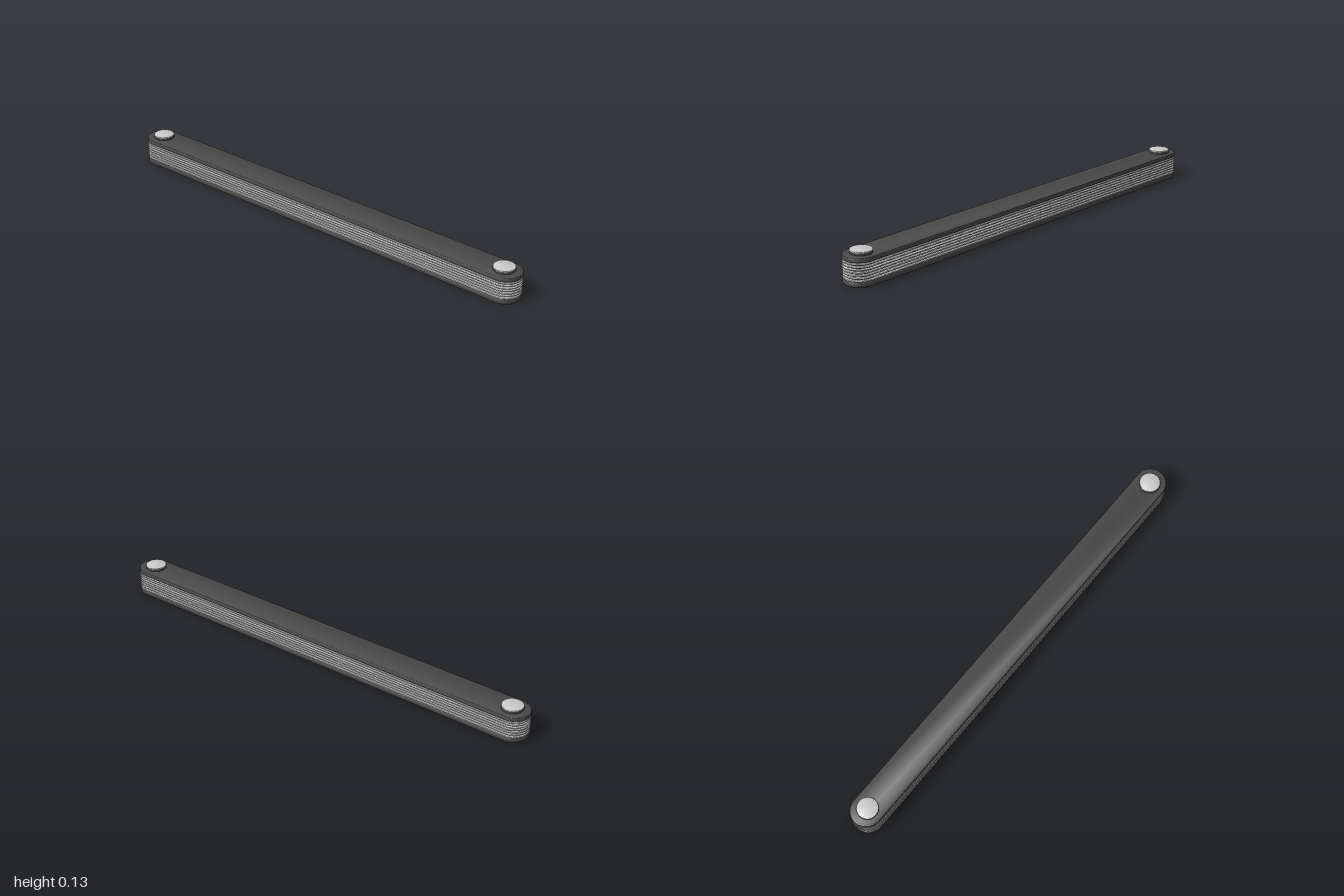
import * as THREE from 'three';
import { toCreasedNormals } from 'three/addons/utils/BufferGeometryUtils.js';

const dark = new THREE.MeshStandardMaterial({ color: 0x4a4a4a });
const light = new THREE.MeshStandardMaterial({ color: 0xcccccc });

const HALF_WIDTH = 0.067;
const END_Z = 1 - HALF_WIDTH; // centre of each rounded end

// Flat bar with round ends, lying along z, with softened rims
function bar(name, radius, y0, y1, bevel, material) {
  const r = radius - bevel;
  const shape = new THREE.Shape();
  shape.absarc(0, END_Z, r, 0, Math.PI, false);
  shape.absarc(0, -END_Z, r, Math.PI, Math.PI * 2, false);
  shape.closePath();
  const geometry = new THREE.ExtrudeGeometry(shape, {
    depth: y1 - y0 - 2 * bevel,
    curveSegments: 32,
    bevelEnabled: bevel > 0,
    bevelSize: bevel,
    bevelThickness: bevel,
    bevelSegments: 4,
  });
  geometry.rotateX(-Math.PI / 2);
  geometry.translate(0, y0 + bevel, 0);
  const mesh = new THREE.Mesh(toCreasedNormals(geometry, 0.7), material);
  mesh.name = name;
  return mesh;
}

// Round disc with softened rims
function disc(name, radius, y0, y1, z, bevel, material) {
  const points = [new THREE.Vector2(0, y0)];
  for (let i = 0; i <= 4; i++) {
    const a = -Math.PI / 2 + (i / 4) * Math.PI / 2;
    points.push(new THREE.Vector2(radius - bevel + bevel * Math.cos(a), y0 + bevel + bevel * Math.sin(a)));
  }
  for (let i = 0; i <= 4; i++) {
    const a = (i / 4) * Math.PI / 2;
    points.push(new THREE.Vector2(radius - bevel + bevel * Math.cos(a), y1 - bevel + bevel * Math.sin(a)));
  }
  points.push(new THREE.Vector2(0, y1));
  const geometry = toCreasedNormals(new THREE.LatheGeometry(points, 48), 0.7);
  const mesh = new THREE.Mesh(geometry, material);
  mesh.name = name;
  mesh.position.z = z;
  return mesh;
}

export function createModel() {
  const group = new THREE.Group();
  group.name = 'layeredBar';

  // Outer plates and the recessed core between them
  group.add(bar('bottomPlate', HALF_WIDTH, 0, 0.02, 0.003, dark));
  group.add(bar('core', 0.057, 0.018, 0.099, 0, dark));
  group.add(bar('topPlate', HALF_WIDTH, 0.097, 0.116, 0.003, dark));

  // Stack of thin round-edged ribs
  for (let i = 0; i < 7; i++) {
    const y = 0.025 + i * 0.011;
    group.add(bar('rib', HALF_WIDTH, y - 0.0035, y + 0.0035, 0.003, light));
  }

  // A washer and cap at each end
  for (const z of [-0.925, 0.925]) {
    group.add(disc('washer', 0.045, 0.115, 0.124, z, 0.003, dark));
    group.add(disc('cap', 0.045, 0.123, 0.132, z, 0.004, light));
  }
  return group;
}
